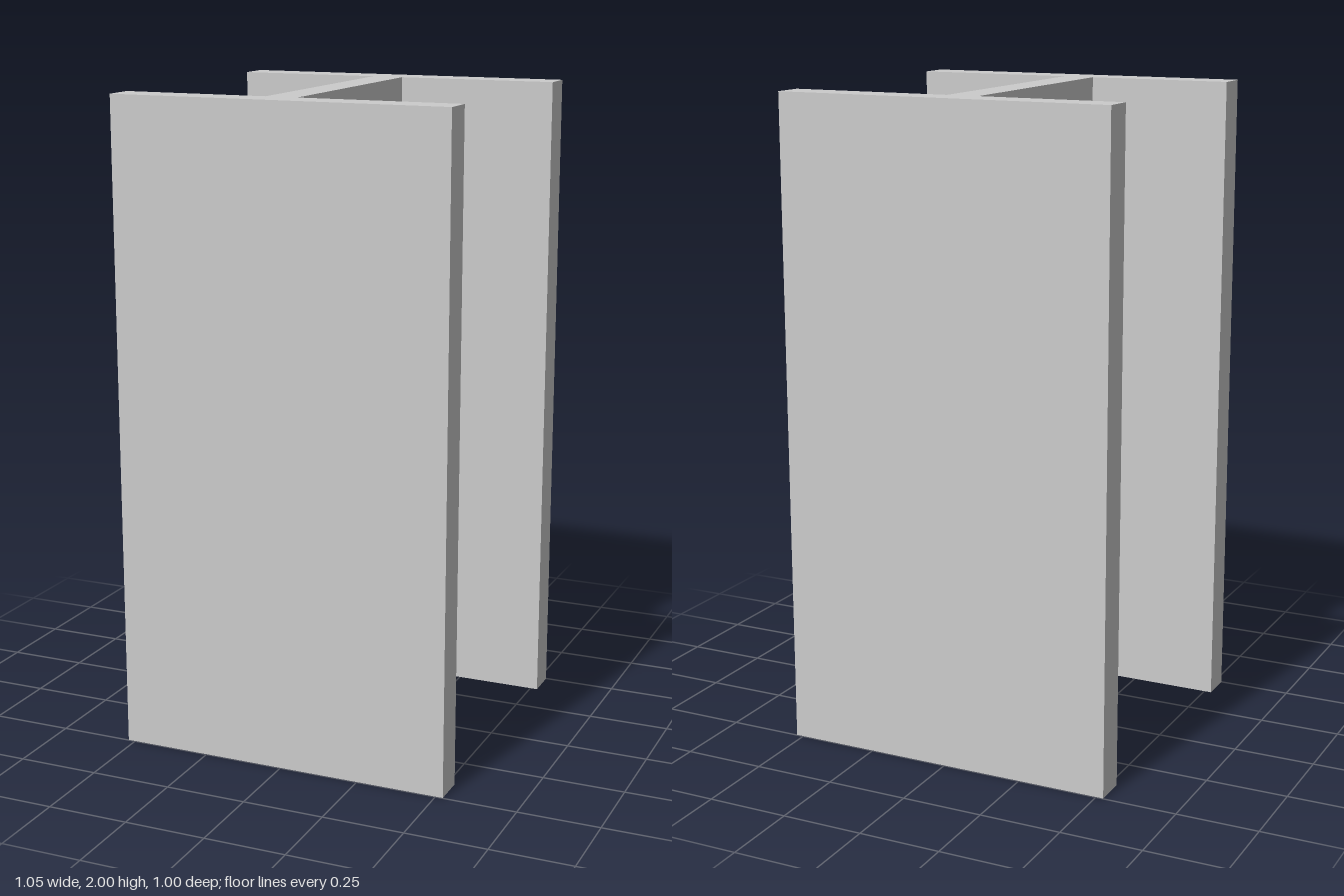
import * as THREE from 'three';

const HEIGHT = 2;
const HALF_WIDTH = 0.523; // flange half width along x
const OUTER = 0.498; // outer flange faces along z
const INNER = 0.398; // inner flange faces along z
const WEB = [-0.075, 0.024]; // web sides, slightly off centre

export function createModel() {
  const group = new THREE.Group();
  group.name = 'steelBeam';

  // H-shaped section: two flanges joined by the web
  const section = new THREE.Shape([
    [-HALF_WIDTH, -OUTER], [HALF_WIDTH, -OUTER], [HALF_WIDTH, -INNER],
    [WEB[1], -INNER], [WEB[1], INNER], [HALF_WIDTH, INNER],
    [HALF_WIDTH, OUTER], [-HALF_WIDTH, OUTER], [-HALF_WIDTH, INNER],
    [WEB[0], INNER], [WEB[0], -INNER], [-HALF_WIDTH, -INNER],
  ].map(([x, z]) => new THREE.Vector2(x, z)));

  // Section extruded upwards along the beam
  const geometry = new THREE.ExtrudeGeometry(section, { depth: HEIGHT, bevelEnabled: false });
  geometry.rotateX(-Math.PI / 2);

  const beam = new THREE.Mesh(geometry, new THREE.MeshStandardMaterial({ color: 0xcccccc }));
  beam.name = 'flangesAndWeb';
  group.add(beam);
  return group;
}
